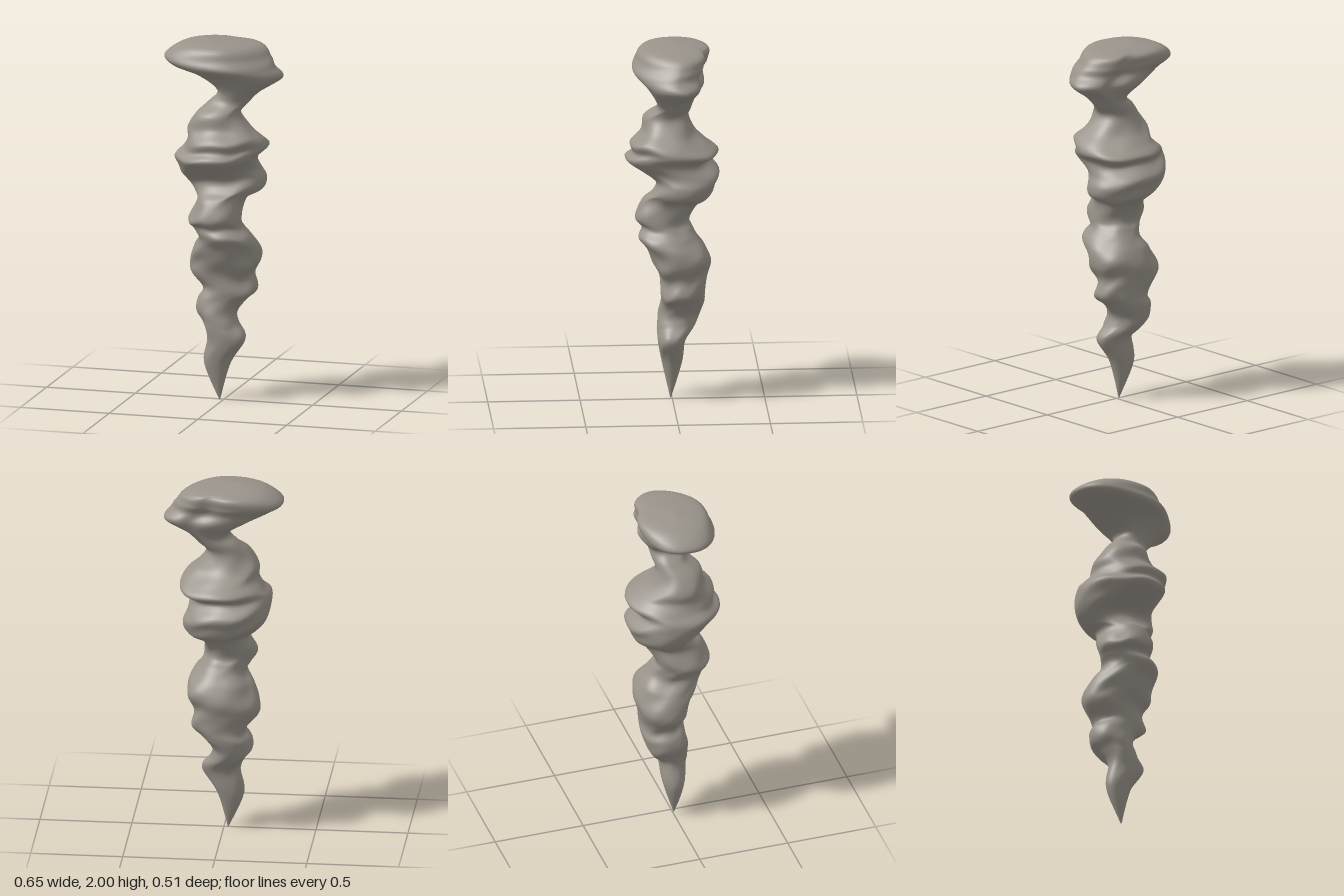
import * as THREE from 'three';

const stone = new THREE.MeshStandardMaterial({ color: 0x99938a });
stone.name = 'warm grey stone';

// Cross-sections: height, left edge, right edge, back edge, front edge
const sections = [
  [0, -0.025, -0.02, 0.005, 0.01],
  [0.2, -0.11, 0.035, -0.055, 0.055],
  [0.34, -0.09, 0.12, -0.07, 0.08],
  [0.42, -0.12, 0.075, -0.125, 0.08],
  [0.48, -0.16, 0.06, -0.155, 0.075],
  [0.55, -0.16, 0.11, -0.175, 0.06],
  [0.61, -0.13, 0.17, -0.175, 0.065],
  [0.7, -0.2, 0.155, -0.19, 0.07],
  [0.78, -0.195, 0.19, -0.21, 0.11],
  [0.86, -0.165, 0.19, -0.18, 0.14],
  [0.92, -0.125, 0.16, -0.14, 0.185],
  [0.97, -0.15, 0.12, -0.11, 0.165],
  [1.02, -0.18, 0.11, -0.095, 0.2],
  [1.12, -0.14, 0.115, -0.155, 0.165],
  [1.17, -0.18, 0.2, -0.21, 0.11],
  [1.23, -0.23, 0.215, -0.235, 0.09],
  [1.29, -0.255, 0.19, -0.255, 0.165],
  [1.36, -0.26, 0.19, -0.2, 0.255],
  [1.41, -0.22, 0.235, -0.25, 0.22],
  [1.46, -0.19, 0.22, -0.19, 0.23],
  [1.52, -0.19, 0.155, -0.125, 0.17],
  [1.6, -0.14, 0.1, -0.09, 0.155],
  [1.66, -0.08, 0.14, -0.1, 0.09],
  [1.72, -0.035, 0.2, -0.115, 0.1],
  [1.8, -0.14, 0.32, -0.17, 0.15],
  [1.86, -0.27, 0.285, -0.17, 0.215],
  [1.91, -0.325, 0.255, -0.2, 0.2],
  [1.975, -0.23, 0.18, -0.19, 0.16],
  [2.0, -0.09, -0.09, 0, 0],
];

// Smooth spline through the four neighbouring values
function spline(p0, p1, p2, p3, t) {
  const m1 = (p2 - p0) / 2, m2 = (p3 - p1) / 2;
  const t2 = t * t, t3 = t2 * t;
  return (2 * t3 - 3 * t2 + 1) * p1 + (t3 - 2 * t2 + t) * m1
    + (3 * t2 - 2 * t3) * p2 + (t3 - t2) * m2;
}

function sectionAt(u) {
  const last = sections.length - 1;
  const i = Math.min(Math.floor(u), last - 1);
  const row = (k) => sections[Math.max(0, Math.min(last, k))];
  return sections[0].map((_, c) =>
    spline(row(i - 1)[c], row(i)[c], row(i + 1)[c], row(i + 2)[c], u - i));
}

const shaped = (v, power) => Math.sign(v) * Math.abs(v) ** power;

// Loft rings through the sections, with slanting folds between the four sides
function loftStone(steps, sides) {
  const positions = [], indices = [];
  const rings = (sections.length - 1) * steps;
  for (let i = 0; i <= rings; i++) {
    const [y, x0, x1, z0, z1] = sectionAt(i / steps);
    const halfX = (x1 - x0) / 2, halfZ = (z1 - z0) / 2;
    const fade = Math.min(1, y / 0.4, (2 - y) / 0.6);
    // The cap is blunt on its left edge, pointed on its right and notched behind
    const cap = THREE.MathUtils.smoothstep(y, 1.7, 1.8)
      * (1 - THREE.MathUtils.smoothstep(y, 1.96, 2));
    for (let j = 0; j < sides; j++) {
      const a = (j / sides) * Math.PI * 2;
      const c = Math.cos(a), s = Math.sin(a);
      const diagonal = Math.sin(2 * a) ** 2;
      const fold = 1 + 0.04 * fade * diagonal
        * (Math.sin(y * 42 + a * 2) + 0.6 * Math.sin(y * 23 - a * 3));
      const slant = 0.015 * fade * Math.sin(2 * a + y * 5) * diagonal;
      const power = 0.96 + cap * (c < 0 ? 0.12 * c : 0.14 * c);
      const notch = 0.03 * cap * Math.exp(-(((a - 5.05) / 0.28) ** 2));
      const lean = -0.03 * cap * Math.max(0, c) ** 2;
      positions.push(
        (x0 + x1) / 2 + halfX * shaped(c, power) * fold,
        Math.min(2, Math.max(0, y + slant)),
        (z0 + z1) / 2 + halfZ * shaped(s, power) * fold + notch + lean,
      );
      if (i < rings) {
        const k = (j + 1) % sides;
        const p = i * sides + j, q = i * sides + k;
        indices.push(p, p + sides, q, q, p + sides, q + sides);
      }
    }
  }
  const geometry = new THREE.BufferGeometry();
  geometry.setAttribute('position', new THREE.Float32BufferAttribute(positions, 3));
  geometry.setIndex(indices);
  geometry.computeVertexNormals();
  return geometry;
}

export function createModel() {
  const group = new THREE.Group();
  group.name = 'stalactite';
  const body = new THREE.Mesh(loftStone(6, 72), stone);
  body.name = 'stoneBody';
  group.add(body);
  return group;
}
